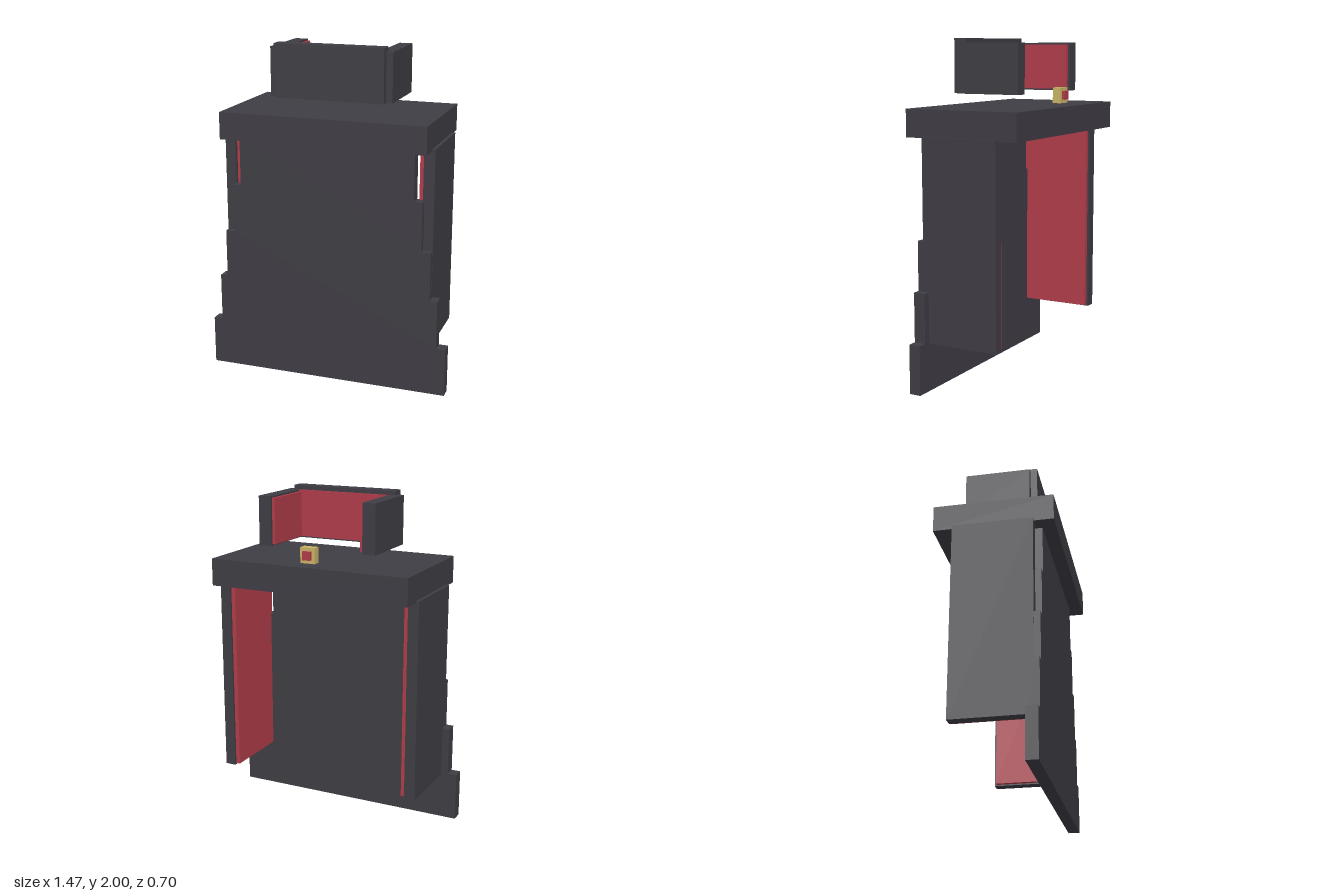
import * as THREE from 'three';

export function createModel() {
  const model = new THREE.Group();
  model.name = 'cape';

  const material = (name, color) => {
    const m = new THREE.MeshStandardMaterial({ color });
    m.name = name;
    return m;
  };
  const cloth = material('charcoal cloth', 0x3f3d44);
  const lining = material('crimson lining', 0xb03c4a);
  const gold = material('gold', 0xcab468);

  // Box given by its [min, max] range on each axis
  const box = (name, mat, [x0, x1], [y0, y1], [z0, z1]) => {
    const mesh = new THREE.Mesh(new THREE.BoxGeometry(x1 - x0, y1 - y0, z1 - z0), mat);
    mesh.position.set((x0 + x1) / 2, (y0 + y1) / 2, (z0 + z1) / 2);
    mesh.name = name;
    model.add(mesh);
  };
  // Same box on both sides of the model
  const pair = (name, mat, [x0, x1], y, z) => {
    box(name + 'Left', mat, [x0, x1], y, z);
    box(name + 'Right', mat, [-x1, -x0], y, z);
  };

  // Main panel: a stepped outline that widens towards the hem
  const halfWidths = [0.735, 0.68, 0.635, 0.58, 0.53];
  const step = 0.29;
  const side = halfWidths.flatMap((w, i) => [
    new THREE.Vector2(w, i * step),
    new THREE.Vector2(w, (i + 1) * step),
  ]);
  const mirrored = side.map((p) => new THREE.Vector2(-p.x, p.y)).reverse();
  const panel = new THREE.Mesh(
    new THREE.ExtrudeGeometry(new THREE.Shape([...side, ...mirrored]), { depth: 0.07, bevelEnabled: false }),
    cloth
  );
  panel.position.z = 0.202;
  panel.name = 'mainPanel';
  model.add(panel);

  // Side panels with their lining
  pair('sidePanel', cloth, [0.572, 0.637], [0.28, 1.46], [-0.235, 0.235]);
  pair('sideLining', lining, [0.546, 0.572], [0.288, 1.45], [-0.222, 0.215]);

  // Shoulder slab
  box('shoulders', cloth, [-0.617, 0.617], [1.45, 1.61], [-0.352, 0.352]);

  // Standing collar, open on one side, with its lining
  box('collarFront', cloth, [-0.328, 0.328], [1.688, 2], [0.13, 0.21]);
  pair('collarSide', cloth, [0.288, 0.367], [1.688, 1.975], [-0.225, 0.17]);
  box('collarFrontLining', lining, [-0.288, 0.288], [1.698, 1.975], [0.112, 0.13]);
  pair('collarSideLining', lining, [0.27, 0.288], [1.698, 1.965], [-0.212, 0.112]);

  // Clasp with a set stone
  box('clasp', gold, [-0.045, 0.045], [1.63, 1.72], [-0.328, -0.278]);
  box('claspStone', lining, [-0.025, 0.025], [1.65, 1.7], [-0.345, -0.32]);

  return model;
}
